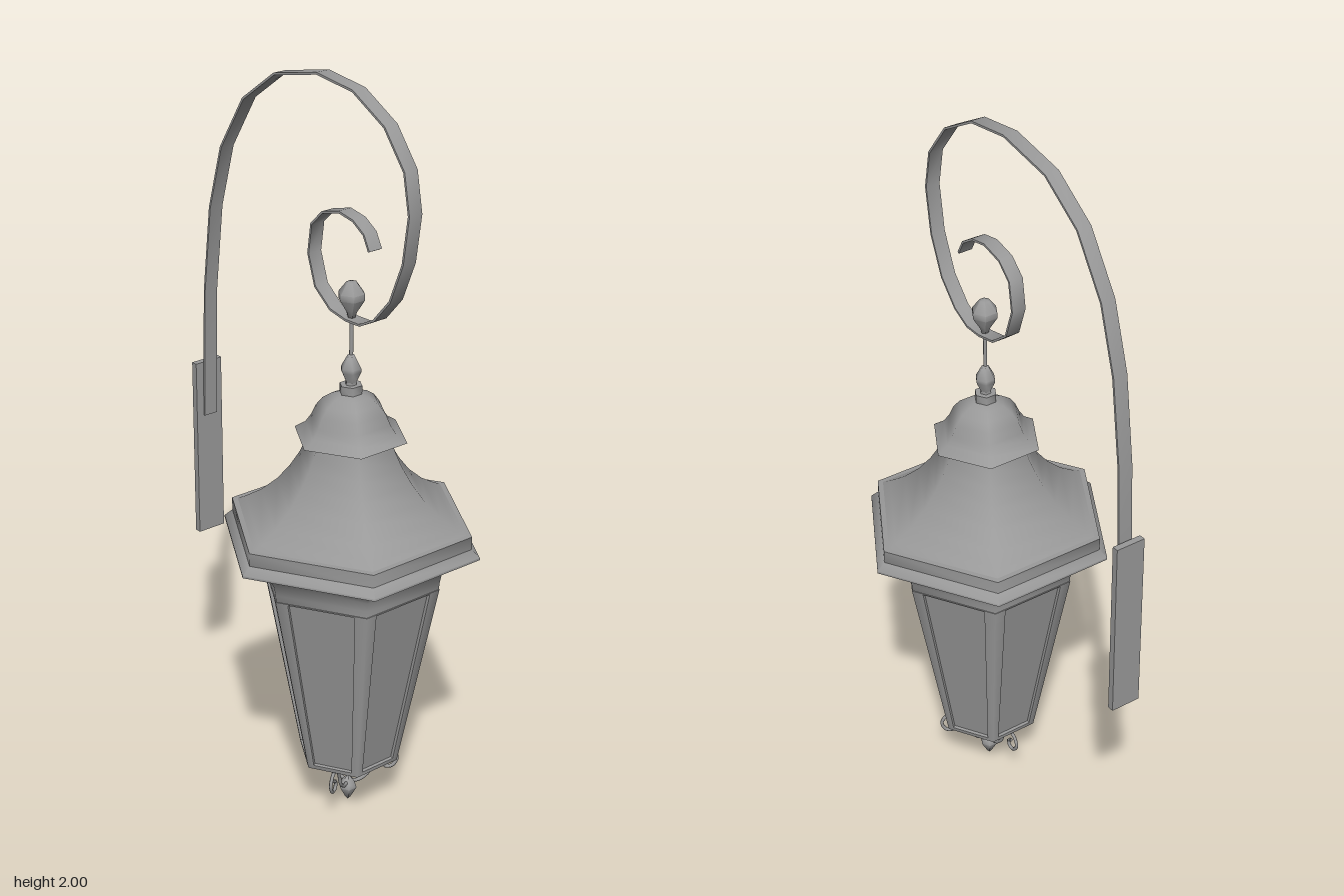
import * as THREE from 'three';
import { toCreasedNormals } from 'three/addons/utils/BufferGeometryUtils.js';

const material = new THREE.MeshStandardMaterial({ color: 0x999999, side: THREE.DoubleSide });
const AXIS_Z = 0.155; // lantern hangs in front of the wall plate

function add(parent, name, geometry) {
  const mesh = new THREE.Mesh(geometry, material);
  mesh.name = name;
  parent.add(mesh);
  return mesh;
}

const toVectors = (points) => points.map(([x, y]) => new THREE.Vector2(x, y));

// Hexagonal lathe with corners on +x and -x; profile is [radius, height], bottom to top.
// The default crease angle blends the six corners but keeps square edges sharp.
function hexLathe(profile, crease = 1.1) {
  const geometry = new THREE.LatheGeometry(toVectors(profile), 6, Math.PI / 2);
  return toCreasedNormals(geometry, crease);
}

// Flat strap following a [z, y] path, with its width along x
function strap(path, thickness, width) {
  const points = toVectors(path);
  const sides = [[], []];
  points.forEach((p, i) => {
    const before = points[Math.max(i - 1, 0)];
    const after = points[Math.min(i + 1, points.length - 1)];
    const dir = after.clone().sub(before).normalize();
    const offset = new THREE.Vector2(-dir.y, dir.x).multiplyScalar(thickness / 2);
    sides[0].push(p.clone().add(offset));
    sides[1].unshift(p.clone().sub(offset));
  });
  const shape = new THREE.Shape([...sides[0], ...sides[1]]);
  const geometry = new THREE.ExtrudeGeometry(shape, { depth: width, bevelEnabled: false });
  geometry.rotateY(-Math.PI / 2).translate(width / 2, 0, 0);
  return toCreasedNormals(geometry, 0.8);
}

// One sloping side frame with a tapered window opening; outer surface at local z = 0
function windowFrame(bottomHalf, topHalf, height, depth) {
  const shape = new THREE.Shape(toVectors([
    [-bottomHalf, 0], [bottomHalf, 0], [topHalf, height], [-topHalf, height],
  ]));
  shape.holes.push(new THREE.Path(toVectors([
    [-0.053, 0.012], [-0.09, height - 0.004], [0.09, height - 0.004], [0.053, 0.012],
  ])));
  const geometry = new THREE.ExtrudeGeometry(shape, { depth, bevelEnabled: false }).translate(0, 0, -depth);
  // Lean the normals at the outer corners so neighbouring frames shade as one rounded corner
  const { position, normal } = geometry.attributes;
  for (let i = 0; i < position.count; i++) {
    const y = position.getY(i);
    const isCorner = y < 0.001 || y > height - 0.001;
    if (isCorner && normal.getZ(i) > 0.9) {
      normal.setXYZ(i, Math.sign(position.getX(i)) * 0.5, 0, Math.cos(Math.PI / 6));
    }
  }
  return geometry;
}

export function createModel() {
  const model = new THREE.Group();
  model.name = 'wallLantern';

  // Wall plate and scrolled bracket
  const plate = add(model, 'wallPlate', new THREE.BoxGeometry(0.084, 0.505, 0.018));
  plate.position.set(0, 0.8475, -0.449);
  add(model, 'scrollBracket', strap([
    [-0.437, 0.945], [-0.433, 1.1], [-0.425, 1.31], [-0.395, 1.55], [-0.343, 1.725],
    [-0.248, 1.873], [-0.122, 1.962], [0.042, 1.997], [0.175, 1.982], [0.29, 1.92],
    [0.362, 1.828], [0.381, 1.725], [0.362, 1.6], [0.318, 1.495], [0.26, 1.43],
    [0.207, 1.402], [0.155, 1.4], [0.095, 1.411], [0.037, 1.455], [0.01, 1.535],
    [0.022, 1.615], [0.064, 1.655], [0.127, 1.672], [0.18, 1.663], [0.22, 1.638], [0.24, 1.6],
  ], 0.006, 0.04));

  const lantern = new THREE.Group();
  lantern.name = 'lantern';
  lantern.position.z = AXIS_Z;
  model.add(lantern);

  // Hanger: knob on the bracket, rod, lower finial and collar
  add(lantern, 'hangerKnob', hexLathe([
    [0, 1.4], [0.01, 1.404], [0.014, 1.418], [0.035, 1.452], [0.035, 1.468], [0.014, 1.496], [0, 1.5],
  ]));
  add(lantern, 'hangerRod', new THREE.CylinderGeometry(0.005, 0.005, 0.13, 8)).position.y = 1.355;
  add(lantern, 'roofFinial', hexLathe([
    [0.016, 1.22], [0.014, 1.232], [0.027, 1.26], [0.027, 1.27], [0.01, 1.302], [0, 1.308],
  ]));
  add(lantern, 'roofCollar', hexLathe([[0.03, 1.195], [0.03, 1.225], [0, 1.225]]));

  // Bell-shaped cap and flared roof
  add(lantern, 'roofCap', hexLathe([
    [0.1, 1.083], [0.151, 1.086], [0.122, 1.105], [0.106, 1.128], [0.094, 1.155],
    [0.076, 1.178], [0.052, 1.194], [0.028, 1.203], [0, 1.205],
  ]));
  add(lantern, 'roof', hexLathe([
    [0.318, 0.853], [0.29, 0.866], [0.245, 0.893], [0.2, 0.932], [0.165, 0.975],
    [0.138, 1.018], [0.118, 1.06], [0.106, 1.1],
  ]));

  // Roof rim: projecting moulding with an upright band above it
  add(lantern, 'rimUnderside', hexLathe([[0, 0.772], [0.29, 0.772], [0.349, 0.794]]));
  add(lantern, 'rimMoulding', hexLathe([[0.349, 0.794], [0.349, 0.8], [0.327, 0.82]]));
  add(lantern, 'rimBand', hexLathe([[0.327, 0.818], [0.327, 0.855], [0.3, 0.857]]));

  // Cove under the rim
  add(lantern, 'cove', hexLathe([
    [0.225, 0.69], [0.243, 0.69], [0.245, 0.71], [0.25, 0.735], [0.263, 0.757], [0.285, 0.773],
  ]));

  // Tapered body: recessed panes behind six window frames
  const bottom = { y: 0.155, r: 0.138 };
  const top = { y: 0.69, r: 0.245 };
  const inset = 0.01;
  add(lantern, 'panes', hexLathe([
    [0, bottom.y + 0.001], [bottom.r - inset, bottom.y + 0.001], [top.r - inset, top.y], [0, top.y],
  ], 0.4));
  const apothem = Math.cos(Math.PI / 6);
  const rise = top.y - bottom.y;
  const run = (top.r - bottom.r) * apothem;
  const frame = windowFrame(bottom.r / 2, top.r / 2, Math.hypot(rise, run), 0.011)
    .rotateX(Math.atan2(run, rise))
    .translate(0, bottom.y, bottom.r * apothem);
  for (let i = 0; i < 6; i++) {
    add(lantern, 'windowFrame', frame).rotation.y = (i * Math.PI) / 3;
  }

  // Bottom finial held by three curled brackets
  add(lantern, 'bottomFinial', hexLathe([
    [0, 0], [0.008, 0.01], [0.025, 0.042], [0.021, 0.055], [0.009, 0.07], [0, 0.08],
  ]));
  const curl = new THREE.CatmullRomCurve3([
    [0.008, 0.058], [0.03, 0.06], [0.057, 0.082], [0.072, 0.12], [0.09, 0.145], [0.118, 0.146],
    [0.135, 0.12], [0.121, 0.095], [0.101, 0.096], [0.098, 0.115], [0.108, 0.12],
  ].map(([r, y]) => new THREE.Vector3(r, y, 0)));
  const curlGeometry = new THREE.TubeGeometry(curl, 40, 0.005, 6);
  for (let i = 0; i < 3; i++) {
    add(lantern, 'bottomScroll', curlGeometry).rotation.y = Math.PI / 2 + (i * 2 * Math.PI) / 3;
  }

  return model;
}
